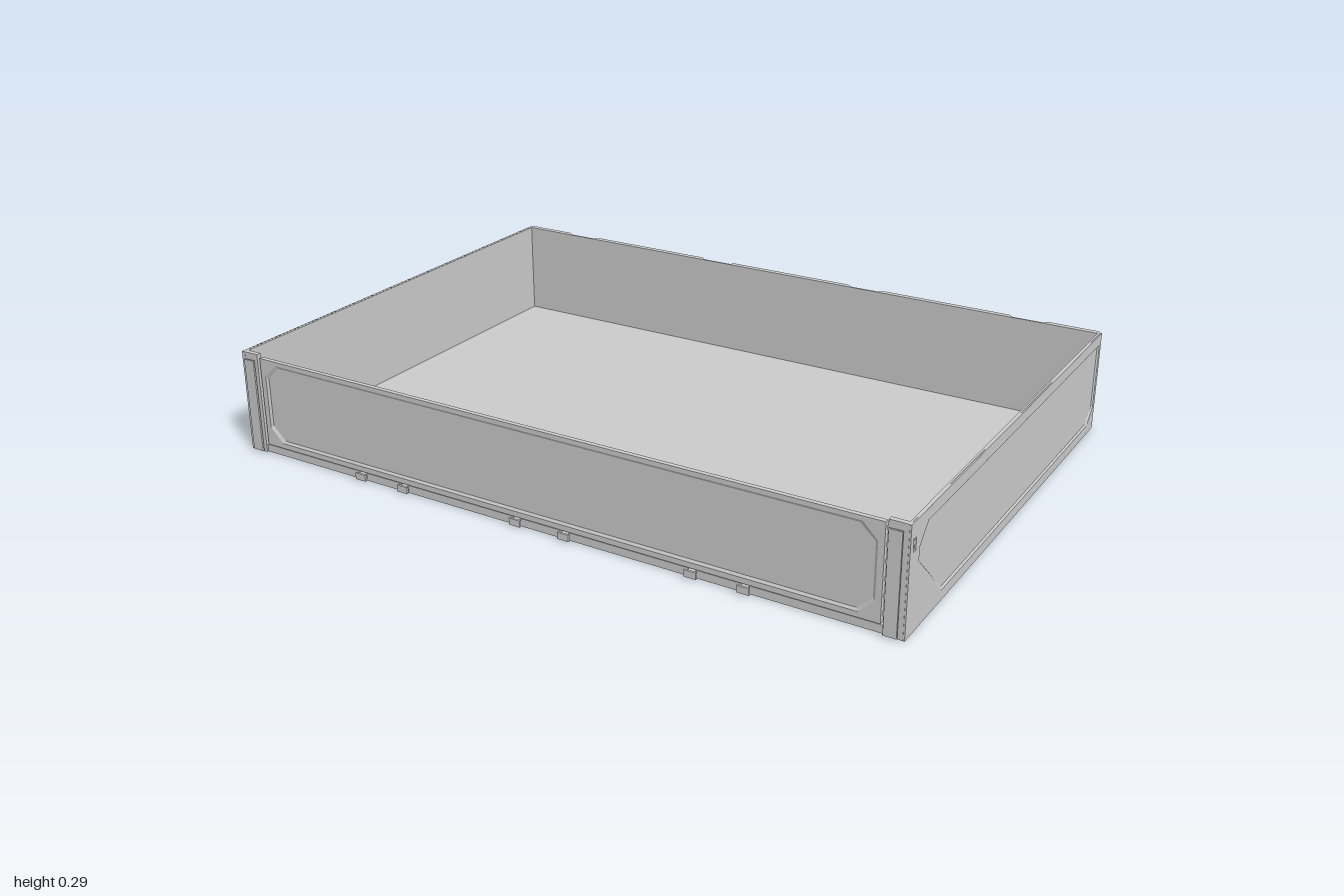
import * as THREE from 'three';
import { mergeGeometries } from 'three/addons/utils/BufferGeometryUtils.js';

const material = new THREE.MeshStandardMaterial({ color: 0xcccccc, side: THREE.DoubleSide, flatShading: true });
const H = 0.295;

const ccw = (pts) => {
  const v = pts.map(([x, y]) => new THREE.Vector2(x, y));
  return THREE.ShapeUtils.isClockWise(v) ? v.reverse() : v;
};

// pull an outline inwards on each axis of its bounding box
function shrink(pts, d) {
  const b = new THREE.Box2().setFromPoints(pts);
  const c = b.getCenter(new THREE.Vector2()), s = b.getSize(new THREE.Vector2());
  return pts.map((p) => new THREE.Vector2(
    c.x + (p.x - c.x) * (1 - 2 * d / s.x), c.y + (p.y - c.y) * (1 - 2 * d / s.y)));
}

// band of faces joining two outlines at different depths
function loft(a, za, b, zb) {
  const pos = [];
  a.forEach((p, i) => {
    const j = (i + 1) % a.length, q = a[j], r = b[j], s = b[i];
    pos.push(p.x, p.y, za, q.x, q.y, za, r.x, r.y, zb, p.x, p.y, za, r.x, r.y, zb, s.x, s.y, zb);
  });
  const g = new THREE.BufferGeometry();
  g.setAttribute('position', new THREE.Float32BufferAttribute(pos, 3));
  g.computeVertexNormals();
  return g;
}

function flat(shape, z) {
  const g = new THREE.ShapeGeometry(shape).toNonIndexed();
  g.deleteAttribute('uv');
  return g.translate(0, 0, z);
}

// sheet facing +z with sloped recesses pressed into it and optional windows
function pressedPanel({ face, base = face, recesses, windows = [], depth, slope }) {
  const outline = ccw(face), foot = ccw(base);
  const sheet = new THREE.Shape(outline);
  const parts = [loft(foot, -depth, outline, 0)];
  for (const r of recesses) {
    const rim = ccw(r), floor = shrink(rim, slope);
    sheet.holes.push(new THREE.Path(rim));
    parts.push(loft(rim, 0, floor, -depth), flat(new THREE.Shape(floor), -depth));
  }
  for (const w of windows) {
    const rim = ccw(w);
    sheet.holes.push(new THREE.Path(rim));
    parts.push(loft(rim, 0, rim, -depth));
  }
  parts.push(flat(sheet, 0));
  return mergeGeometries(parts);
}

const rect = (x0, x1, y0, y1) => [[x0, y0], [x1, y0], [x1, y1], [x0, y1]];
// rectangle with cut corners: b at the bottom, t at the top
const cutRect = (x0, x1, y0, y1, b, t = b) => [
  [x0 + b, y0], [x1 - b, y0], [x1, y0 + b], [x1, y1 - t],
  [x1 - t, y1], [x0 + t, y1], [x0, y1 - t], [x0, y0 + b]];

export function createModel() {
  const model = new THREE.Group();
  const add = (name, geometry) => {
    const m = new THREE.Mesh(geometry, material);
    m.name = name;
    model.add(m);
    return m;
  };
  const box = (name, x0, x1, y0, y1, z0, z1) =>
    add(name, new THREE.BoxGeometry(x1 - x0, y1 - y0, z1 - z0)
      .translate((x0 + x1) / 2, (y0 + y1) / 2, (z0 + z1) / 2));

  box('floor', -0.99, 0.99, 0, 0.008, -0.678, 0.67);

  // side walls with a pressed panel and a latch window
  const sidePress = [[0.58, 0.263], [-0.665, 0.263], [-0.665, 0.07], [-0.62, 0.028],
    [0.47, 0.028], [0.625, 0.18], [0.625, 0.215]];
  const latch = rect(0.648, 0.662, 0.218, 0.252);
  for (const s of [1, -1]) {
    const side = s > 0 ? 'left' : 'right';
    const turn = (pts) => pts.map(([z, y]) => [-s * z, y]);
    const outline = turn(rect(-0.68, 0.68, 0, H));
    const skin = add(side + 'SideWall', pressedPanel({
      face: outline, recesses: [turn(sidePress)], windows: [turn(latch)], depth: 0.004, slope: 0.006 }));
    skin.rotation.y = s * Math.PI / 2;
    skin.position.x = s;
    const shape = new THREE.Shape(ccw(outline));
    shape.holes.push(new THREE.Path(ccw(turn(latch))));
    const liner = add(side + 'SideLiner', new THREE.ExtrudeGeometry(shape, { depth: 0.006, bevelEnabled: false }));
    liner.rotation.y = s * Math.PI / 2;
    liner.position.x = s * 0.9895;

    // corner posts beside the gate, each with a T-shaped vertical rail
    const span = (a, b) => (s > 0 ? [a, b] : [-b, -a]);
    box(side + 'FrontPost', ...span(0.945, 0.999), 0, H, 0.665, 0.679);
    box(side + 'RailNeck', ...span(0.957, 0.977), 0.01, 0.275, 0.679, 0.685);
    box(side + 'RailCap', ...span(0.95, 0.984), 0.006, 0.278, 0.685, 0.69);
  }

  // back wall: raised frame with notches open at the top and recessed bays
  const backOutline = (edge, n) => {
    const pts = [[-edge, 0], [edge, 0], [edge, H]];
    for (const x of [0.78, 0.26, -0.26, -0.78])
      pts.push([x + n, H], [x + n, 0.23 - n], [x - n, 0.23 - n], [x - n, H]);
    return [...pts, [-edge, H]];
  };
  const bays = [];
  for (const x of [-0.52, 0, 0.52]) bays.push(cutRect(x - 0.19, x + 0.19, 0.03, 0.28, 0.015, 0.035));
  for (const x of [-0.91, 0.91]) bays.push(cutRect(x - 0.058, x + 0.058, 0.025, 0.278, 0.025));
  for (const x of [-0.78, -0.26, 0.26, 0.78]) bays.push(cutRect(x - 0.055, x + 0.055, 0.02, 0.145, 0.01, 0.025));
  const back = add('backWallFrame', pressedPanel({
    face: backOutline(0.988, 0.06), base: backOutline(0.999, 0.045), recesses: bays, depth: 0.013, slope: 0.015 }));
  back.rotation.y = Math.PI;
  back.position.z = -0.69;
  box('backWallLiner', -0.99, 0.99, 0, H, -0.6775, -0.672);

  // front gate with its pressed panel, above a low sill
  const gate = add('frontGate', pressedPanel({
    face: rect(-0.938, 0.938, 0.025, 0.285),
    recesses: [cutRect(-0.922, 0.922, 0.04, 0.273, 0.04)], depth: 0.005, slope: 0.008 }));
  gate.position.z = 0.677;
  box('frontGateLiner', -0.938, 0.938, 0.025, 0.285, 0.664, 0.6725);
  box('frontSill', -0.945, 0.945, 0, 0.022, 0.664, 0.674);

  // hinge lugs along the sill
  for (const x of [-0.59, -0.445, -0.075, 0.075, 0.445, 0.59]) {
    box('hingeNeck', x - 0.01, x + 0.01, 0.007, 0.022, 0.674, 0.684);
    box('hingeCap', x - 0.017, x + 0.017, 0.005, 0.024, 0.684, 0.69);
  }
  return model;
}
